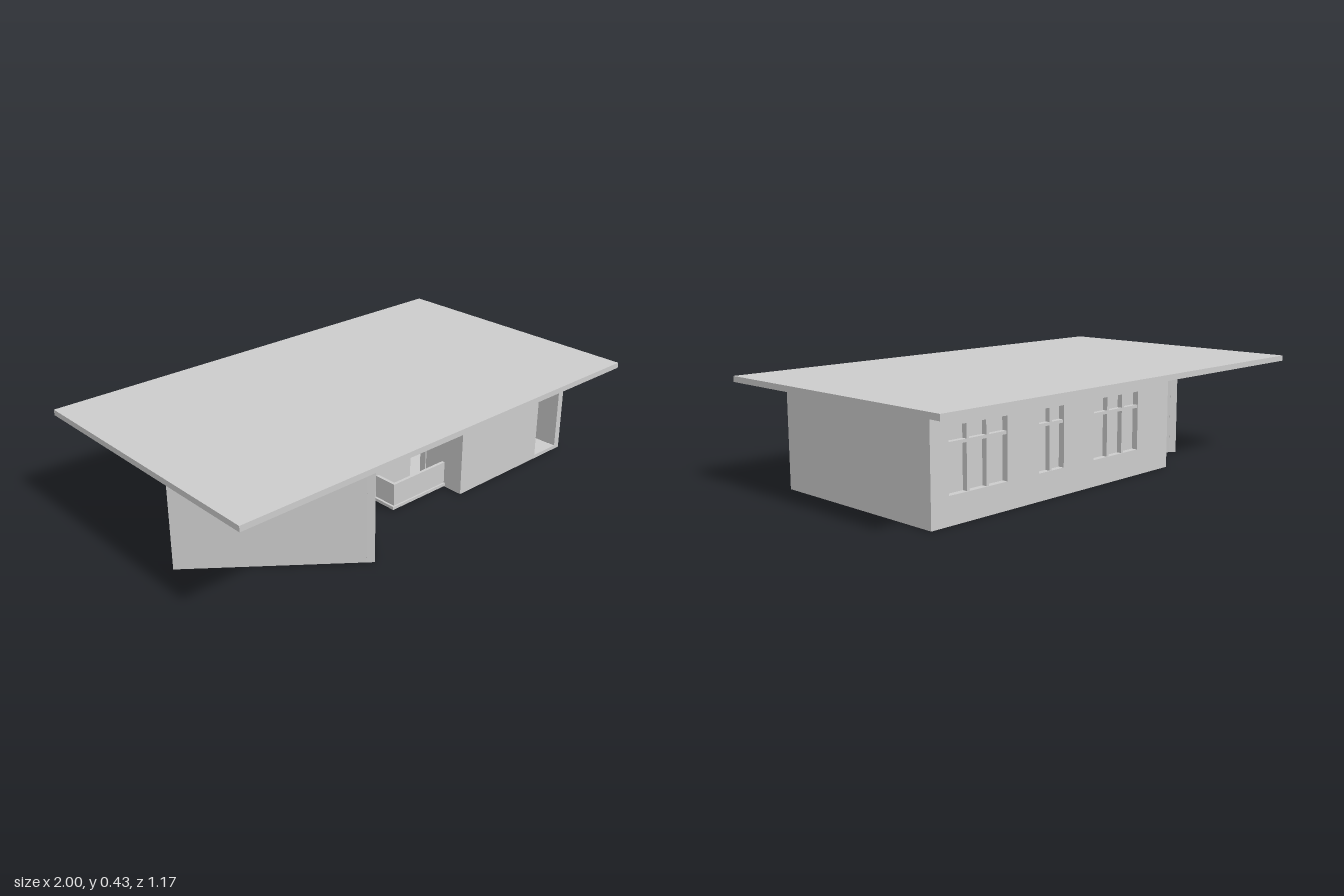
import * as THREE from 'three';

const material = new THREE.MeshStandardMaterial({ color: 0xcccccc, flatShading: true });
const WALL_TOP = 0.405, THICK = 0.03, FLOOR = 0.015;

function addMesh(parent, name, geometry) {
  const mesh = new THREE.Mesh(geometry, material);
  mesh.name = name;
  parent.add(mesh);
  return mesh;
}

function addBox(parent, name, x0, x1, y0, y1, z0, z1) {
  const mesh = addMesh(parent, name, new THREE.BoxGeometry(x1 - x0, y1 - y0, z1 - z0));
  mesh.position.set((x0 + x1) / 2, (y0 + y1) / 2, (z0 + z1) / 2);
  return mesh;
}

// Glazing set at the inner face of the wall, divided by mullions and a transom
function addGlazing(wall, o) {
  const bar = 0.012, front = -0.004;
  addBox(wall, 'windowPane', o.x0, o.x1, o.y0, o.y1, -THICK, -THICK + 0.005);
  for (let i = 1; i < o.panes; i++) {
    const x = o.x0 + (o.x1 - o.x0) * i / o.panes;
    addBox(wall, 'mullion', x - bar / 2, x + bar / 2, o.y0, o.y1, -THICK, front);
  }
  addBox(wall, 'transom', o.x0, o.x1, 0.274, 0.274 + bar, -THICK, front);
}

// A wall from p to q (x, z) with its outer face on that line
function addWall(parent, name, p, q, openings = []) {
  const dx = q[0] - p[0], dz = q[1] - p[1], length = Math.hypot(dx, dz);
  const shape = new THREE.Shape([[0, 0], [length, 0], [length, WALL_TOP], [0, WALL_TOP]]
    .map(([x, y]) => new THREE.Vector2(x, y)));
  const wall = new THREE.Group();
  wall.name = name;
  for (const o of openings) {
    shape.holes.push(new THREE.Path([[o.x0, o.y0], [o.x0, o.y1], [o.x1, o.y1], [o.x1, o.y0]]
      .map(([x, y]) => new THREE.Vector2(x, y))));
    if (o.panes) addGlazing(wall, o);
  }
  const geometry = new THREE.ExtrudeGeometry(shape, { depth: THICK, bevelEnabled: false });
  geometry.translate(0, 0, -THICK);
  addMesh(wall, name + 'Panel', geometry);
  wall.position.set(p[0], 0, p[1]);
  wall.rotation.y = -Math.atan2(dz, dx);
  parent.add(wall);
}

const bigWindow = (x0, x1, panes) => ({ x0, x1, y0: 0.105, y1: 0.34, panes });
const smallWindow = (x0, x1) => ({ x0, x1, y0: 0.195, y1: 0.33 });
const door = (x0, x1) => ({ x0, x1, y0: FLOOR + 0.001, y1: 0.33 });

export function createModel() {
  const house = new THREE.Group();
  house.name = 'house';

  // Floor plan corners (x, z), each with the wall that starts there
  const plan = [
    [-0.94, 0.08, 'wingFrontWall', []],
    [-0.37, 0.535, 'wingInnerWall', [smallWindow(0.04, 0.13)]],
    [-0.11, 0.205, 'porchBackWall', [door(0.255, 0.345)]],
    [0.24, 0.205, 'porchSideWall', []],
    [0.24, 0.4, 'frontWall', [door(0.48, 0.62)]],
    [0.89, 0.4, 'sideWall', []],
    [0.89, -0.41, 'backWall', [bigWindow(0.08, 0.355, 3), bigWindow(0.515, 0.65, 2), bigWindow(0.82, 1.09, 3)]],
    [-0.4, -0.41, 'backAngledWall', [smallWindow(0.095, 0.185)]],
    [-0.58, -0.2, 'wingReturnWall', []],
    [-0.663, -0.269, 'wingBackWall', [bigWindow(0.07, 0.36, 3)]],
  ];
  plan.forEach((corner, i) => addWall(house, corner[2], corner, plan[(i + 1) % plan.length], corner[3]));

  // Floor slab follows the plan
  const outline = new THREE.Shape(plan.map(([x, z]) => new THREE.Vector2(x, z)));
  const floor = new THREE.ExtrudeGeometry(outline, { depth: FLOOR, bevelEnabled: false });
  floor.rotateX(Math.PI / 2).translate(0, FLOOR, 0);
  addMesh(house, 'floor', floor);

  // Porch slab with solid balustrade
  addBox(house, 'porchSlab', -0.06, 0.24, 0.005, 0.018, 0.205, 0.315);
  addBox(house, 'porchFrontRail', -0.05, 0.24, 0.018, 0.112, 0.295, 0.308);
  addBox(house, 'porchSideRail', -0.05, -0.037, 0.018, 0.112, 0.205, 0.295);

  // Flat overhanging roof
  addBox(house, 'roof', -1, 1, WALL_TOP, 0.428, -0.587, 0.587);

  return house;
}
